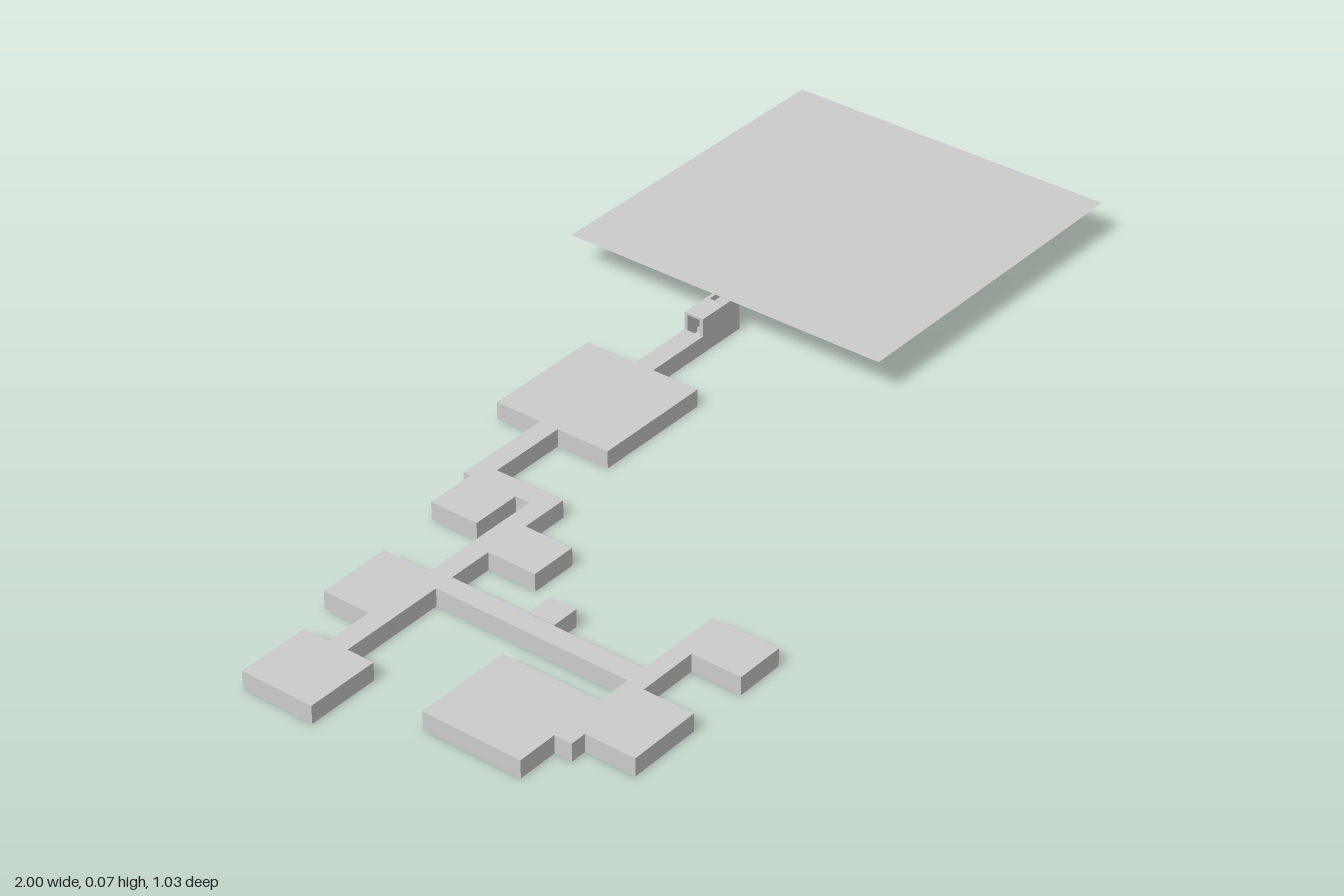
import * as THREE from 'three';

const H = 0.035;       // height of rooms and passages
const GROUND = 0.071;  // height of the ground sheet

export function createModel() {
  const model = new THREE.Group();
  model.name = 'undergroundMap';
  const stone = new THREE.MeshStandardMaterial({ color: 0xcccccc });
  stone.name = 'grey stone';
  stone.side = THREE.DoubleSide;

  // Box between two corners
  function block(name, x0, x1, z0, z1, y0 = 0, y1 = H, parent = model) {
    const mesh = new THREE.Mesh(new THREE.BoxGeometry(x1 - x0, y1 - y0, z1 - z0), stone);
    mesh.position.set((x0 + x1) / 2, (y0 + y1) / 2, (z0 + z1) / 2);
    mesh.name = name;
    parent.add(mesh);
  }

  // Rooms: x0, x1, z0, z1
  const rooms = {
    westRoom: [-1, -0.855, -0.113, 0.035],
    northRoom: [-0.76, -0.613, -0.158, -0.02],
    southCell: [-0.512, -0.417, -0.02, 0.08],
    northCell: [-0.46, -0.36, -0.19, -0.09],
    mainHall: [-0.16, 0.087, -0.302, -0.055],
    alcove: [-0.6, -0.545, 0.14, 0.195],
    largeRoom: [-0.903, -0.71, 0.18, 0.38],
    frontRoom: [-0.79, -0.645, 0.415, 0.515],
    frontCell: [-0.525, -0.427, 0.415, 0.515],
  };
  for (const [name, r] of Object.entries(rooms)) block(name, ...r);

  // Passages joining the rooms
  const passages = {
    westPassage: [-0.855, -0.76, -0.06, -0.02],
    middlePassage: [-0.613, -0.36, -0.06, -0.02],
    bendPassage: [-0.36, -0.32, -0.165, -0.02],
    hallPassage: [-0.36, -0.16, -0.205, -0.165],
    longPassage: [-0.642, -0.602, -0.02, 0.38],
    frontPassage: [-0.822, -0.427, 0.38, 0.415],
    stairPassage: [0.087, 0.227, -0.195, -0.154],
  };
  for (const [name, p] of Object.entries(passages)) block(name, ...p);

  // Stair shaft: side walls, floor and a roof that stops short of the exit
  const shaft = new THREE.Group();
  shaft.name = 'stairShaft';
  model.add(shaft);
  const [x0, x1, z0, z1, wall] = [0.227, 0.333, -0.195, -0.154, 0.007];
  block('backWall', x0, x1, z0, z0 + wall, 0, GROUND, shaft);
  block('frontWall', x0, x1, z1 - wall, z1, 0, GROUND, shaft);
  block('shaftFloor', x0, x1, z0 + wall, z1 - wall, 0, 0.003, shaft);
  block('shaftRoof', x0, 0.29, z0 + wall, z1 - wall, GROUND - 0.004, GROUND, shaft);

  // Steps climbing to the ground
  const steps = 8;
  for (let i = 0; i < steps; i++) {
    const run = (x1 - x0) / steps, rise = (GROUND - 0.006) / steps;
    block('step', x0 + i * run, x0 + (i + 1) * run, z0 + wall, z1 - wall,
      0.003 + i * rise, 0.003 + (i + 1) * rise, shaft);
  }

  // Flat ground sheet
  const ground = new THREE.Mesh(new THREE.PlaneGeometry(0.695, 0.693).rotateX(-Math.PI / 2), stone);
  ground.position.set(0.6525, GROUND + 0.001, -0.1735);
  ground.name = 'ground';
  model.add(ground);

  return model;
}
